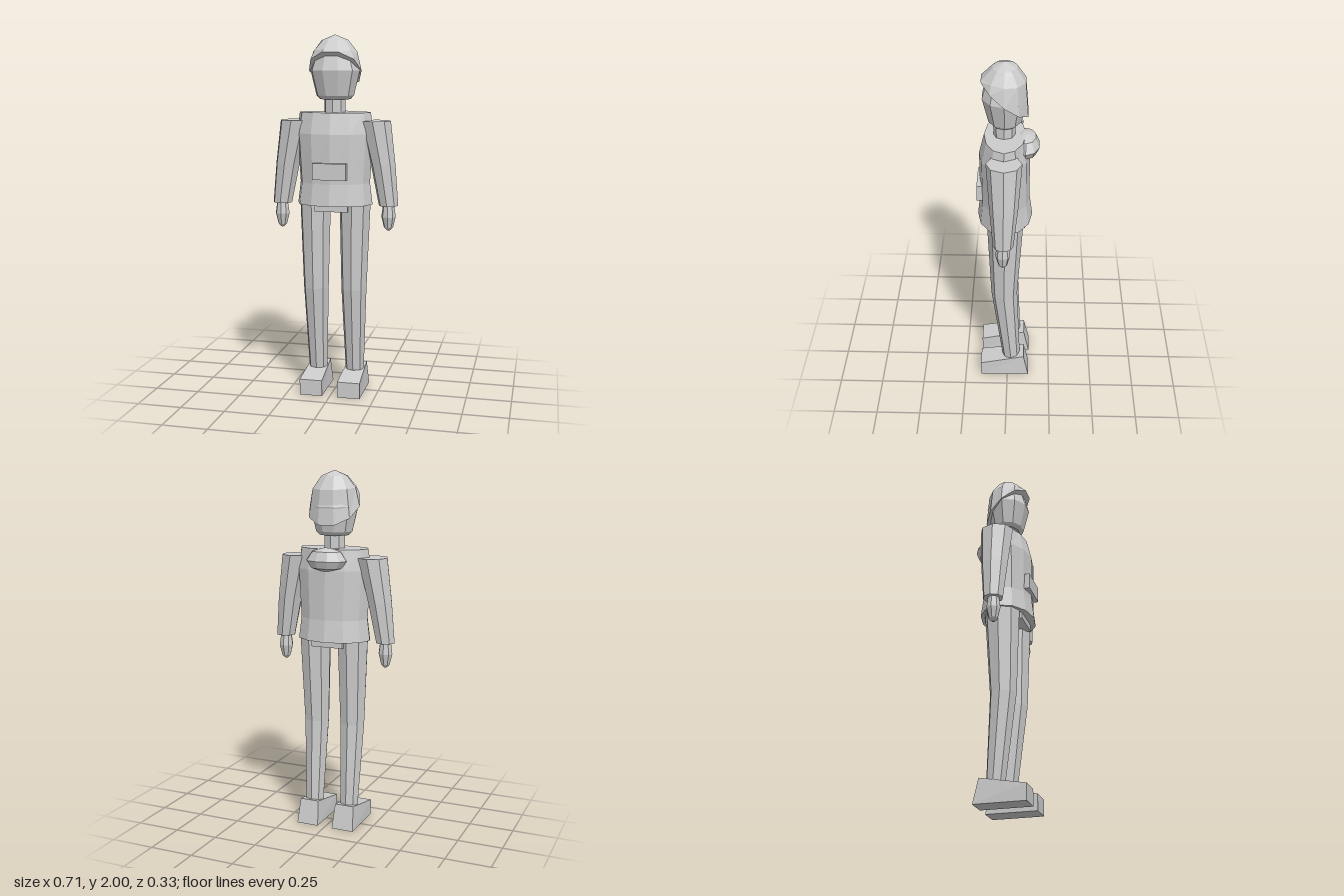
import * as THREE from 'three';

const grey = new THREE.MeshStandardMaterial({ color: 0xcccccc });
grey.name = 'plain grey';

// Faceted mesh with one normal per face
function facet(name, geometry) {
  const flat = geometry.toNonIndexed();
  flat.computeVertexNormals();
  const mesh = new THREE.Mesh(flat, grey);
  mesh.name = name;
  return mesh;
}

// Loft through elliptical rings, listed top to bottom: [y, cx, cz, rx, rz, slope in z]
function loft(name, sides, rings) {
  const rows = rings.length - 1;
  const g = new THREE.CylinderGeometry(1, 1, 1, sides, rows, false, Math.PI / 2);
  const p = g.attributes.position;
  for (let i = 0; i < p.count; i++) {
    const [y, cx, cz, rx, rz, slope = 0] = rings[Math.round((0.5 - p.getY(i)) * rows)];
    const dz = p.getZ(i) * rz;
    p.setXYZ(i, cx + p.getX(i) * rx, y + slope * dz, cz + dz);
  }
  return facet(name, g);
}

function box(name, w, h, d, x, y, z) {
  return facet(name, new THREE.BoxGeometry(w, h, d).translate(x, y, z));
}

// Wedge shoe: slanted top, narrower and set forward at the heel top
function shoe(name, x) {
  const g = new THREE.BoxGeometry(1, 1, 1);
  const p = g.attributes.position;
  for (let i = 0; i < p.count; i++) {
    const top = p.getY(i) > 0, front = p.getZ(i) > 0;
    const half = top && !front ? 0.055 : 0.064;
    p.setXYZ(
      i,
      x + Math.sign(p.getX(i)) * half,
      top ? (front ? 0.09 : 0.138) : 0,
      front ? 0.158 : top ? -0.097 : -0.127
    );
  }
  return facet(name, g);
}

export function createModel() {
  const model = new THREE.Group();
  model.name = 'figure';

  // Jacket with a flared hem, and the hips below it
  model.add(loft('jacket', 12, [
    [1.585, 0, 0.015, 0.2, 0.11],
    [1.47, 0, 0.018, 0.214, 0.135],
    [1.2, 0, 0.016, 0.197, 0.135],
    [1.08, 0, 0.015, 0.212, 0.15],
  ]));
  model.add(box('hips', 0.185, 0.16, 0.215, 0, 1.125, 0.012));
  model.add(box('frontPouch', 0.186, 0.09, 0.035, 0, 1.27, 0.148));

  // Hood rolled up behind the neck
  model.add(loft('hood', 10, [
    [1.592, 0, -0.095, 0.025, 0.016],
    [1.575, 0, -0.095, 0.083, 0.055],
    [1.525, 0, -0.095, 0.118, 0.076],
    [1.485, 0, -0.095, 0.09, 0.06],
    [1.468, 0, -0.095, 0.03, 0.02],
  ]));

  // Neck, head and slanted cap
  model.add(loft('neck', 8, [
    [1.7, 0, 0.018, 0.06, 0.058],
    [1.56, 0, 0.018, 0.06, 0.058],
  ]));
  model.add(loft('head', 10, [
    [1.92, 0, 0.015, 0.1, 0.09],
    [1.81, 0, 0.015, 0.138, 0.122],
    [1.675, 0, 0.014, 0.105, 0.09],
    [1.655, 0, 0.014, 0.085, 0.07],
  ]));
  model.add(loft('cap', 10, [
    [2.0, 0, 0.015, 0.004, 0.004],
    [1.972, 0, 0.015, 0.074, 0.065],
    [1.91, 0, 0.015, 0.123, 0.113, 0.1],
    [1.81, 0, 0.015, 0.147, 0.127, 0.8],
  ]));

  // Limbs, mirrored
  for (const [s, side] of [[1, 'left'], [-1, 'right']]) {
    model.add(loft(side + 'Arm', 8, [
      [1.54, s * 0.225, 0.014, 0.085, 0.094],
      [1.3, s * 0.27, 0.015, 0.068, 0.076],
      [1.077, s * 0.302, 0.018, 0.054, 0.055],
    ]));
    model.add(loft(side + 'Hand', 8, [
      [1.09, s * 0.303, 0.02, 0.03, 0.03],
      [1.015, s * 0.303, 0.02, 0.04, 0.04],
      [0.955, s * 0.303, 0.02, 0.025, 0.025],
      [0.938, s * 0.303, 0.02, 0.008, 0.008],
    ]));
    model.add(loft(side + 'Leg', 8, [
      [1.1, s * 0.113, 0.012, 0.088, 0.1],
      [0.6, s * 0.109, 0.018, 0.072, 0.074],
      [0.12, s * 0.107, -0.022, 0.053, 0.052],
    ]));
    model.add(shoe(side + 'Shoe', s * 0.108));
  }
  return model;
}
